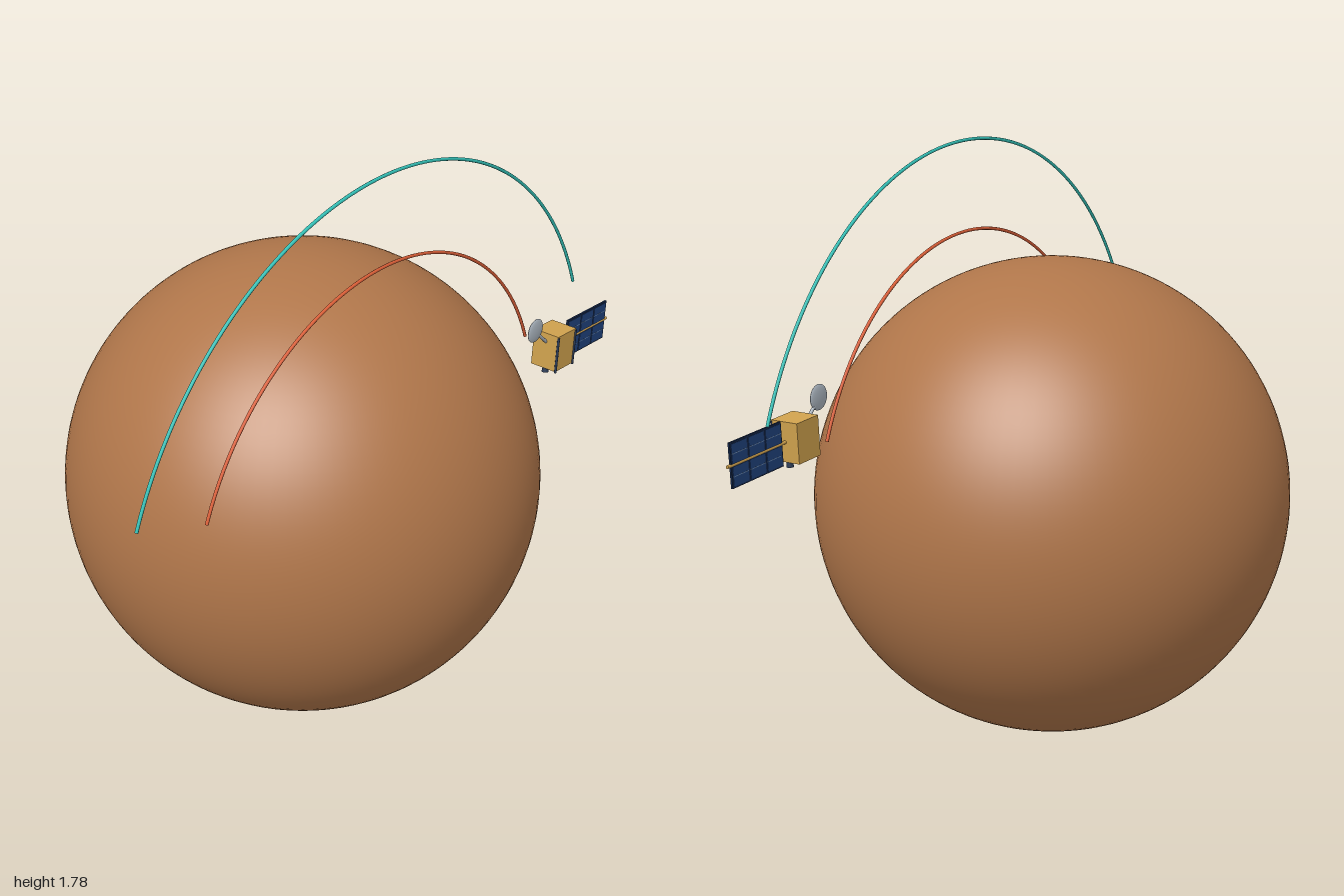
import * as THREE from 'three';

const mat = (name, color) => {
  const m = new THREE.MeshStandardMaterial({ color });
  m.name = name;
  return m;
};

export function createModel() {
  const rust = mat('planet rust', 0xb0764a);
  const teal = mat('orbit teal', 0x35c4ba);
  const red = mat('orbit red', 0xdd6038);
  const gold = mat('foil gold', 0xd0a24e);
  const navy = mat('panel navy', 0x16294d);
  const blue = mat('cell blue', 0x20427c);
  const pale = mat('cell line pale blue', 0x6f8fb8);
  const silver = mat('dish silver', 0xaab4be);
  const dark = mat('dark metal', 0x2a3a55);

  const model = new THREE.Group();
  model.name = 'planetAndOrbiter';
  const add = (parent, name, geo, material, x = 0, y = 0, z = 0) => {
    const mesh = new THREE.Mesh(geo, material);
    mesh.name = name;
    mesh.position.set(x, y, z);
    parent.add(mesh);
    return mesh;
  };
  // Round rod between two points
  const rod = (parent, name, a, b, r, material) => {
    const from = new THREE.Vector3(...a), to = new THREE.Vector3(...b);
    const dir = to.clone().sub(from);
    const mesh = add(parent, name, new THREE.CylinderGeometry(r, r, dir.length(), 10), material);
    mesh.position.copy(from).add(to).multiplyScalar(0.5);
    mesh.quaternion.setFromUnitVectors(new THREE.Vector3(0, 1, 0), dir.normalize());
  };

  // Planet
  add(model, 'planet', new THREE.SphereGeometry(0.72, 96, 64), rust, -0.022, 0.72, 0);

  // Orbit arcs, centred on the planet's axis and set forward of it
  const half = THREE.MathUtils.degToRad(68.6);
  const orbit = (name, radius, material) => {
    const geo = new THREE.TorusGeometry(radius, 0.005, 8, 120, half * 2);
    geo.rotateZ(Math.PI / 2 - half);
    add(model, name, geo, material, -0.022, 0.724, 0.295);
  };
  orbit('outerOrbit', 1.048, teal);
  orbit('innerOrbit', 0.776, red);

  // Orbiter, slightly rolled
  const craft = new THREE.Group();
  craft.name = 'orbiter';
  craft.position.set(0.705, 1.006, 0.4);
  craft.rotation.z = -0.05;
  model.add(craft);
  add(craft, 'body', new THREE.BoxGeometry(0.096, 0.118, 0.09), gold);

  // Solar wing with a three by two grid of cells on both faces
  const wing = new THREE.Group();
  wing.name = 'solarWing';
  wing.position.set(0.174, 0, 0);
  craft.add(wing);
  add(wing, 'wingBoard', new THREE.BoxGeometry(0.218, 0.13, 0.006), navy);
  for (const side of [-1, 1])
    for (let col = -1; col <= 1; col++)
      for (const row of [-1, 1]) {
        const x = col * 0.072, y = row * 0.032;
        add(wing, 'solarCell', new THREE.BoxGeometry(0.064, 0.056, 0.002), blue, x, y, side * 0.0035);
        add(wing, 'cellLine', new THREE.BoxGeometry(0.064, 0.002, 0.001), pale, x, y, side * 0.0045);
      }
  rod(craft, 'wingBoom', [0.04, 0, 0], [0.295, 0, 0], 0.005, gold);

  // Shallow lens-shaped dish on a slanted mast
  const dish = add(craft, 'dish', new THREE.SphereGeometry(0.038, 32, 20), silver, -0.112, 0.088, 0);
  dish.scale.z = 0.2;
  rod(craft, 'dishMast', [-0.092, 0.068, 0], [-0.04, 0.025, 0], 0.005, silver);

  // Thrusters below the body and slim posts on its front corners
  for (const x of [-1, 1]) {
    add(craft, 'thruster', new THREE.CylinderGeometry(0.008, 0.011, 0.02, 12), dark, x * 0.034, -0.066, 0);
    rod(craft, 'cornerPost', [x * 0.046, -0.062, 0.045], [x * 0.046, 0.055, 0.045], 0.004, dark);
  }
  return model;
}
